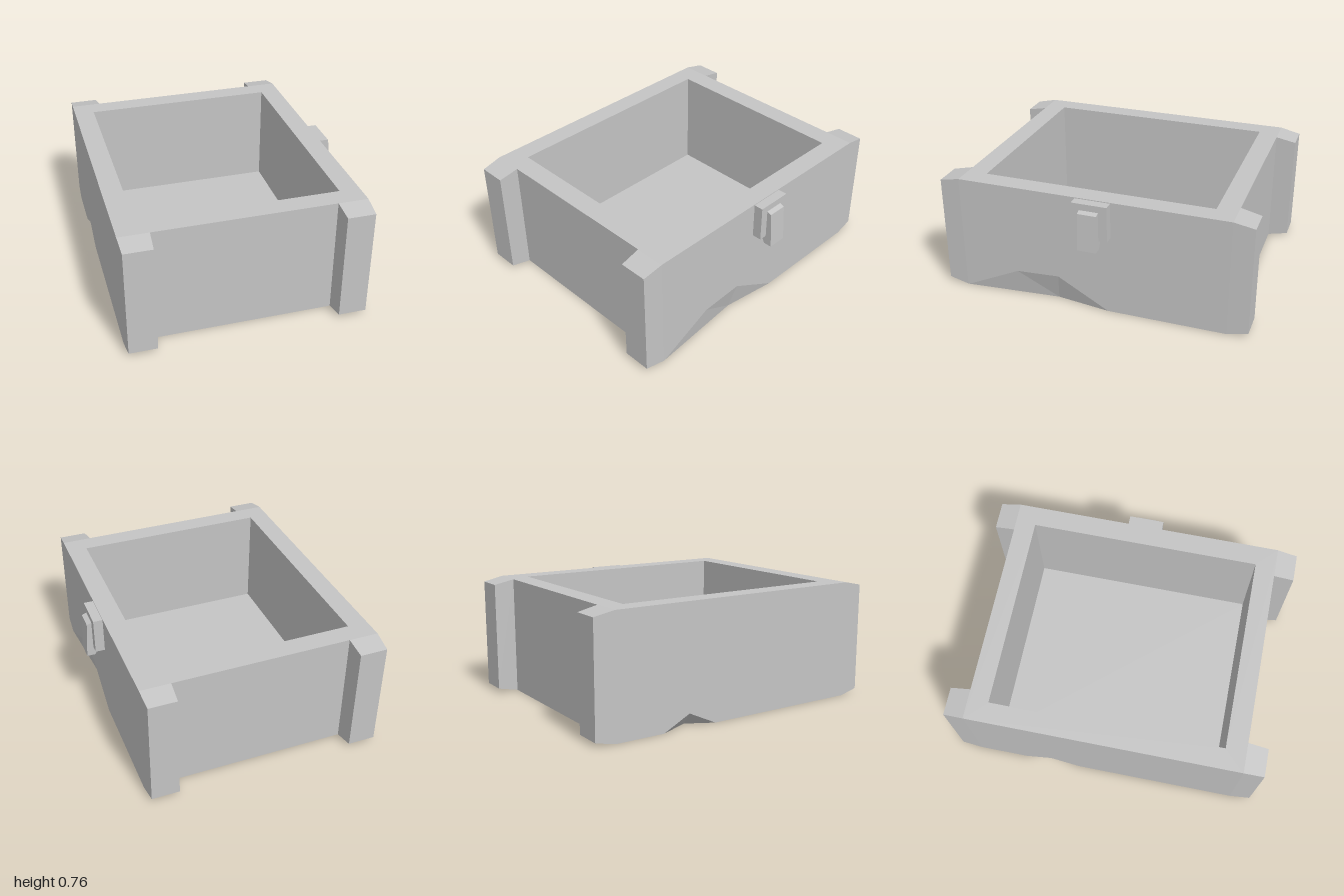
import * as THREE from 'three';
import { mergeGeometries } from 'three/addons/utils/BufferGeometryUtils.js';

// Flat polygon (optionally with a hole) that faces the given outward direction
function face(pts, outward, hole) {
  const a = outward.map(Math.abs);
  const drop = a.indexOf(Math.max(...a));
  const flat = (list) => list.map((p) => new THREE.Vector2(...p.filter((_, i) => i !== drop)));
  const all = hole ? [...pts, ...hole] : pts;
  const v = all.map((p) => new THREE.Vector3(...p));
  const out = new THREE.Vector3(...outward);
  const pos = [];
  for (const t of THREE.ShapeUtils.triangulateShape(flat(pts), hole ? [flat(hole)] : [])) {
    let [p, q, r] = t.map((i) => v[i]);
    const n = q.clone().sub(p).cross(r.clone().sub(p));
    if (n.dot(out) < 0) [q, r] = [r, q];
    pos.push(...p.toArray(), ...q.toArray(), ...r.toArray());
  }
  const g = new THREE.BufferGeometry();
  g.setAttribute('position', new THREE.Float32BufferAttribute(pos, 3));
  g.computeVertexNormals();
  return g;
}

export function createModel() {
  const stone = new THREE.MeshStandardMaterial({ color: 0xc4c4c4 });
  const group = new THREE.Group();
  const add = (name, geometry) => {
    const m = new THREE.Mesh(geometry, stone);
    m.name = name;
    group.add(m);
    return m;
  };

  const X0 = -0.81, X1 = 0.7, Z = 0.87, H = 0.76, FLOOR = 0.085;
  const C0 = -0.68, C1 = 0.57, CZ = 0.74;
  const rect = (x0, x1, z, y) => [[x0, y, -z], [x1, y, -z], [x1, y, z], [x0, y, z]];

  // Chipped lower edges: rim points on the side wall, inner point on the underside
  const rightChip = { rim: [[X1, 0, -0.11], [X1, 0.185, 0.22], [X1, 0.17, 0.5], [X1, 0, 0.86]], inner: [X1 - 0.05, 0, 0.24] };
  const leftChip = { rim: [[X0, 0, -0.55], [X0, 0.09, -0.37], [X0, 0, -0.18]], inner: [X0 + 0.09, 0, -0.35] };

  // Outer walls, rim and underside
  const side = (x, chip) => face(
    [[x, H, -Z], [x, 0, -Z], ...chip.rim, [x, 0, Z], [x, H, Z]], [Math.sign(x), 0, 0]);
  const wall = (z) => face([[X0, 0, z], [X1, 0, z], [X1, H, z], [X0, H, z]], [0, 0, Math.sign(z)]);
  const ends = (chip) => [chip.rim[0], chip.inner, chip.rim.at(-1)];
  const underside = face(
    [[X0, 0, -Z], ...ends(leftChip), [X0, 0, Z], [X1, 0, Z], ...ends(rightChip).reverse(), [X1, 0, -Z]],
    [0, -1, 0]);
  add('outerWalls', mergeGeometries([side(X1, rightChip), side(X0, leftChip), wall(Z), wall(-Z), underside]));
  add('rim', face(rect(X0, X1, Z, H), [0, 1, 0], rect(C0, C1, CZ, H)));

  // Chip facets
  for (const [name, chip, s] of [['rightChip', rightChip, 1], ['leftChip', leftChip, -1]]) {
    const facets = chip.rim.slice(1).map((p, i) => face([chip.rim[i], p, chip.inner], [s, -0.5, 0]));
    add(name, mergeGeometries(facets));
  }

  // Cavity walls and floor
  const top = rect(C0, C1, CZ, H), low = rect(C0, C1, CZ, FLOOR);
  const inward = [[0, 0, 1], [-1, 0, 0], [0, 0, -1], [1, 0, 0]];
  add('cavity', mergeGeometries([
    face(low, [0, 1, 0]),
    ...inward.map((n, i) => face([top[i], top[(i + 1) % 4], low[(i + 1) % 4], low[i]], n)),
  ]));

  // Corner posts, tapering towards their outer ends
  for (const [x, xn] of [[X0 + 0.095, 'left'], [X1 - 0.095, 'right']]) {
    for (const s of [1, -1]) {
      const g = new THREE.BoxGeometry(0.19, H, 0.13).toNonIndexed();
      const p = g.attributes.position;
      for (let i = 0; i < p.count; i++) {
        if (p.getZ(i) * s > 0) p.setXY(i, p.getX(i) * 0.93, p.getY(i) * 0.928);
      }
      g.computeVertexNormals();
      add(xn + (s > 0 ? 'Front' : 'Back') + 'Post', g).position.set(x, H / 2, s * (Z + 0.065));
    }
  }

  // Latch plate and hanging tongue
  add('latchPlate', new THREE.BoxGeometry(0.07, 0.23, 0.225)).position.set(0.725, 0.64, -0.02);
  const profile = [[0.72, 0.52], [0.752, 0.465], [0.805, 0.465], [0.79, 0.702], [0.76, 0.713], [0.72, 0.713]];
  const tongue = new THREE.ExtrudeGeometry(
    new THREE.Shape(profile.map((p) => new THREE.Vector2(...p))), { depth: 0.12, bevelEnabled: false });
  add('latchTongue', tongue).position.z = -0.078;

  return group;
}
